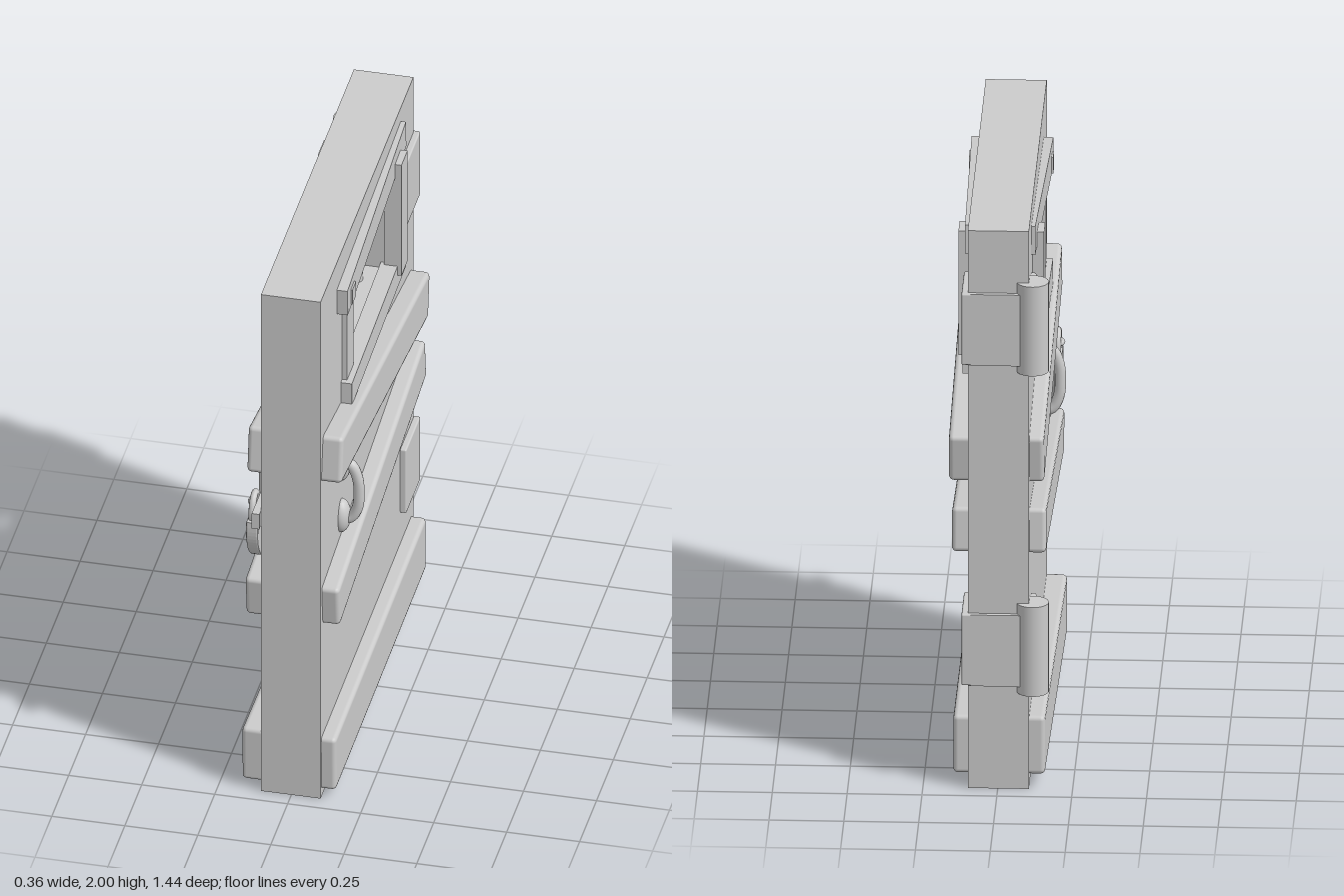
import * as THREE from 'three';
import { RoundedBoxGeometry } from 'three/addons/geometries/RoundedBoxGeometry.js';

const grey = new THREE.MeshStandardMaterial({ color: 0xcccccc });

export function createModel() {
  const door = new THREE.Group();
  door.name = 'barredDoor';

  const add = (name, geometry, x = 0, y = 0, z = 0, rx = 0, ry = 0, rz = 0) => {
    const mesh = new THREE.Mesh(geometry, grey);
    mesh.name = name;
    mesh.position.set(x, y, z);
    mesh.rotation.set(rx, ry, rz);
    door.add(mesh);
    return mesh;
  };
  const box = (name, w, h, d, x, y, z, rx = 0, ry = 0) =>
    add(name, new THREE.BoxGeometry(w, h, d), x, y, z, rx, ry);
  // Board with softened edges whose outer face lies at distance "out" on side s
  const board = (name, s, out, h, len, y, z, rx, ry = 0, radius = 0.016) =>
    add(name, new RoundedBoxGeometry(0.1, h, len, 2, radius), s * (out - 0.05), y, z, rx, s * ry);

  // Door slab with window opening (shape drawn with u = -z)
  const slab = new THREE.Shape([[-0.695, 0], [0.68, 0], [0.68, 2], [-0.695, 2]].map(p => new THREE.Vector2(...p)));
  slab.holes.push(new THREE.Path([[-0.28, 1.46], [-0.28, 1.82], [0.33, 1.82], [0.33, 1.46]].map(p => new THREE.Vector2(...p))));
  add('doorSlab', new THREE.ExtrudeGeometry(slab, { depth: 0.204, bevelEnabled: false }), -0.104, 0, 0, 0, Math.PI / 2);

  // Window bars
  for (const z of [0.24, 0.08, -0.1, -0.245])
    add('windowBar', new THREE.CylinderGeometry(0.027, 0.027, 0.4, 20), 0, 1.64, z);

  for (const s of [1, -1]) {
    // Nailed planks
    board('upperPlank', s, s > 0 ? 0.167 : 0.155, 0.17, 1.325, 1.257, 0.015, -0.143, 0.003);
    board('middlePlank', s, s > 0 ? 0.157 : 0.162, 0.155, 1.315, 0.833, 0.017, 0.115, 0.003);
    board('bottomPlank', s, s > 0 ? 0.15 : 0.165, 0.207, 1.345, 0.14, 0.012, 0.011, s > 0 ? 0 : 0.012);

    // Window frame
    box('frameTop', 0.06, 0.1, 0.95, s * 0.097, 1.868, -0.022, 0.058, s * 0.02);
    box('frameBottom', 0.06, 0.087, 0.845, s * 0.103, 1.437, -0.027, 0.004, s * 0.012);
    box('frameBackPost', 0.06, 0.445, 0.09, s * 0.113, 1.668, -0.362);
    box('frameFrontPost', 0.04, 0.42, 0.095, s * 0.097, 1.63, 0.328);
    box('frameNail', 0.04, 0.058, 0.056, s * 0.121, 1.832, 0.373);

    // Pull handle
    for (const y of [1.152, 0.945])
      add('handleMount', new THREE.SphereGeometry(1, 20, 14), s * 0.102, y, 0.395).scale.set(0.032, 0.063, 0.042);
    const grip = new THREE.CatmullRomCurve3(
      [[0.1, 1.165], [0.137, 1.15], [0.158, 1.1], [0.162, 1.045], [0.158, 0.99], [0.137, 0.945], [0.1, 0.93]]
        .map(([x, y]) => new THREE.Vector3(s * x, y, 0.395)));
    add('handleGrip', new THREE.TubeGeometry(grip, 32, 0.019, 12));
  }

  // Hinges: leaf on each face, strap across the back edge, barrel at one corner
  for (const y of [1.65, 0.5]) {
    for (const s of [1, -1])
      add('hingeLeaf', new RoundedBoxGeometry(0.04, 0.255, 0.21, 2, 0.006), s * 0.101, y, -0.59);
    box('hingeStrap', 0.2, 0.255, 0.04, -0.01, y, -0.677);
    add('hingeBarrel', new THREE.CylinderGeometry(0.054, 0.054, 0.32, 32), -0.116, y + 0.005, -0.663);
  }

  // Hasp and staple on the latch side
  box('haspStrap', 0.026, 0.06, 0.21, -0.117, 1.1, 0.615);
  add('haspStaple', new THREE.TorusGeometry(0.026, 0.009, 8, 20), -0.135, 1.1, 0.6, Math.PI / 2);

  // Padlock: shield-shaped body (u = z) with a shackle
  const shield = new THREE.Shape();
  shield.moveTo(-0.06, 0.07);
  shield.lineTo(0.06, 0.07);
  shield.quadraticCurveTo(0.068, -0.03, 0, -0.085);
  shield.quadraticCurveTo(-0.068, -0.03, -0.06, 0.07);
  add('padlockBody', new THREE.ExtrudeGeometry(shield,
    { depth: 0.03, bevelSize: 0.006, bevelThickness: 0.006, bevelSegments: 2 }), -0.125, 0.985, 0.61, 0, -Math.PI / 2);
  const shackle = new THREE.CatmullRomCurve3(
    [[1.04, -0.04], [1.09, -0.04], [1.125, -0.024], [1.138, 0], [1.125, 0.024], [1.09, 0.04], [1.04, 0.04]]
      .map(([y, z]) => new THREE.Vector3(-0.145, y, 0.61 + z)));
  add('padlockShackle', new THREE.TubeGeometry(shackle, 24, 0.012, 10));
  add('padlockKeyhole', new THREE.CylinderGeometry(0.018, 0.018, 0.012, 16), -0.162, 0.995, 0.61, 0, 0, Math.PI / 2);

  return door;
}
